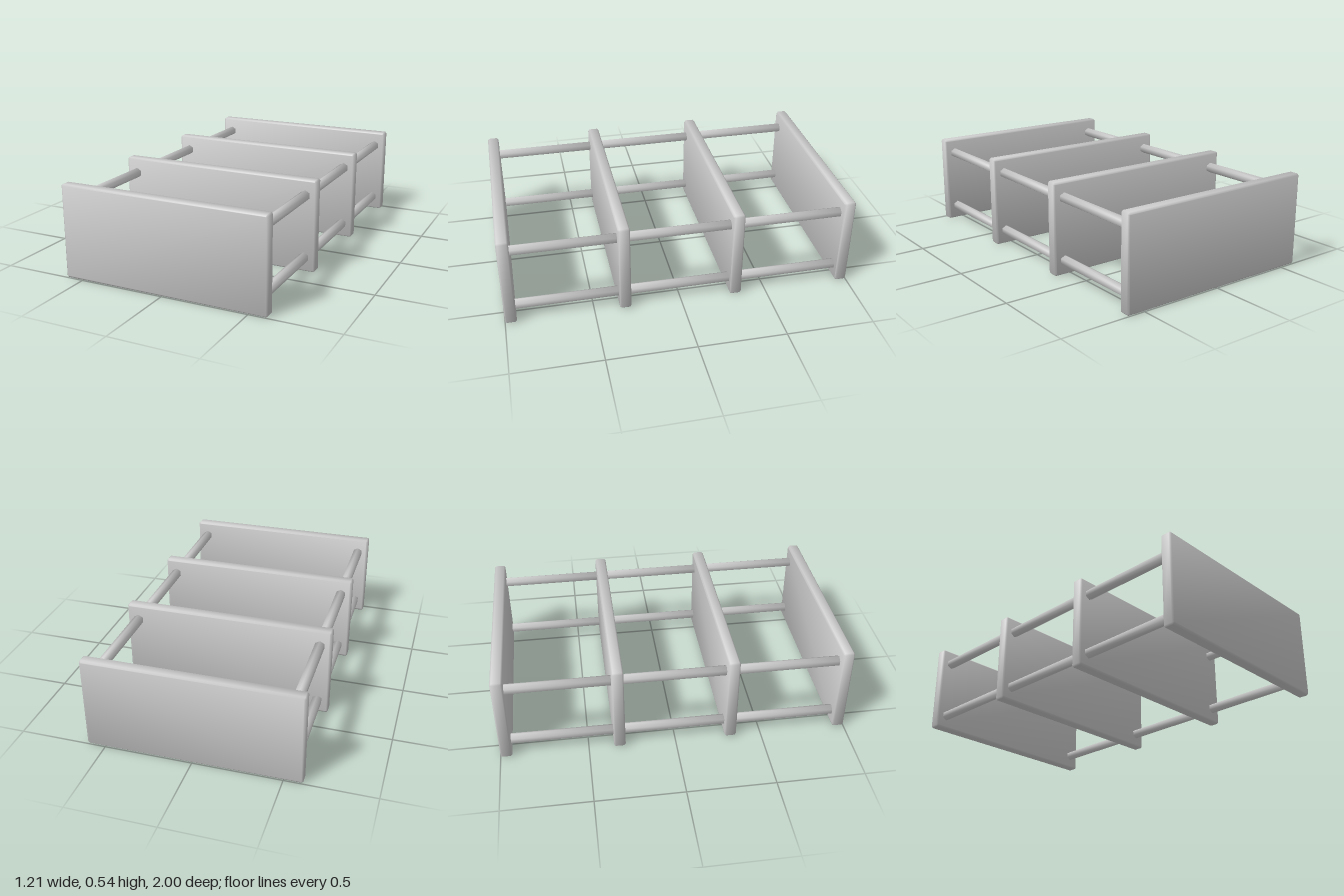
import * as THREE from 'three';
import { mergeVertices } from 'three/addons/utils/BufferGeometryUtils.js';

const WIDTH = 1.21, HEIGHT = 0.535, THICK = 0.066, BEVEL = 0.009;
const PANEL_Z = [-0.967, -0.322, 0.322, 0.967];
const ROD_X = 0.54, ROD_Y = [0.083, 0.445], ROD_RADIUS = 0.03;

// Weld all corners and average the face normals equally, for fully smooth shading
function smooth(geometry) {
  geometry.deleteAttribute('normal');
  geometry.deleteAttribute('uv');
  const welded = mergeVertices(geometry, 1e-4);
  const position = welded.attributes.position;
  const sums = Array.from({ length: position.count }, () => new THREE.Vector3());
  const triangle = new THREE.Triangle(), normal = new THREE.Vector3();
  for (let i = 0; i < welded.index.count; i += 3) {
    const corners = [0, 1, 2].map((k) => welded.index.getX(i + k));
    triangle.setFromAttributeAndIndices(position, ...corners).getNormal(normal);
    corners.forEach((c) => sums[c].add(normal));
  }
  const normals = sums.flatMap((n) => n.normalize().toArray());
  welded.setAttribute('normal', new THREE.Float32BufferAttribute(normals, 3));
  return welded;
}

// Upright slab with chamfered edges and slightly cut corners
function panelGeometry() {
  const x = WIDTH / 2 - BEVEL, y = HEIGHT / 2 - BEVEL, cut = 0.004;
  const shape = new THREE.Shape([
    [x - cut, -y], [x, -y + cut], [x, y - cut], [x - cut, y],
    [-x + cut, y], [-x, y - cut], [-x, -y + cut], [-x + cut, -y],
  ].map(([px, py]) => new THREE.Vector2(px, py)));
  const geometry = new THREE.ExtrudeGeometry(shape, {
    depth: THICK - 2 * BEVEL, bevelSize: BEVEL, bevelThickness: BEVEL, bevelSegments: 1,
  });
  geometry.center();
  return smooth(geometry);
}

export function createModel() {
  const model = new THREE.Group();
  model.name = 'shelfUnit';
  const material = new THREE.MeshStandardMaterial({ color: 0xcccccc });

  // Four parallel panels
  const panel = panelGeometry();
  PANEL_Z.forEach((z, i) => {
    const mesh = new THREE.Mesh(panel, material);
    mesh.name = `panel${i + 1}`;
    mesh.position.set(0, HEIGHT / 2, z);
    model.add(mesh);
  });

  // Four hexagonal rods in each gap between panels
  for (let bay = 0; bay < PANEL_Z.length - 1; bay++) {
    const back = PANEL_Z[bay], front = PANEL_Z[bay + 1];
    const length = front - back - THICK + 0.01;
    const rod = smooth(new THREE.CylinderGeometry(ROD_RADIUS, ROD_RADIUS, length, 6).rotateX(Math.PI / 2));
    for (const side of [-1, 1]) {
      ROD_Y.forEach((y, row) => {
        const mesh = new THREE.Mesh(rod, material);
        mesh.name = `${side > 0 ? 'left' : 'right'}${row ? 'Upper' : 'Lower'}Rod${bay + 1}`;
        mesh.position.set(side * ROD_X, y, (back + front) / 2);
        model.add(mesh);
      });
    }
  }
  return model;
}
